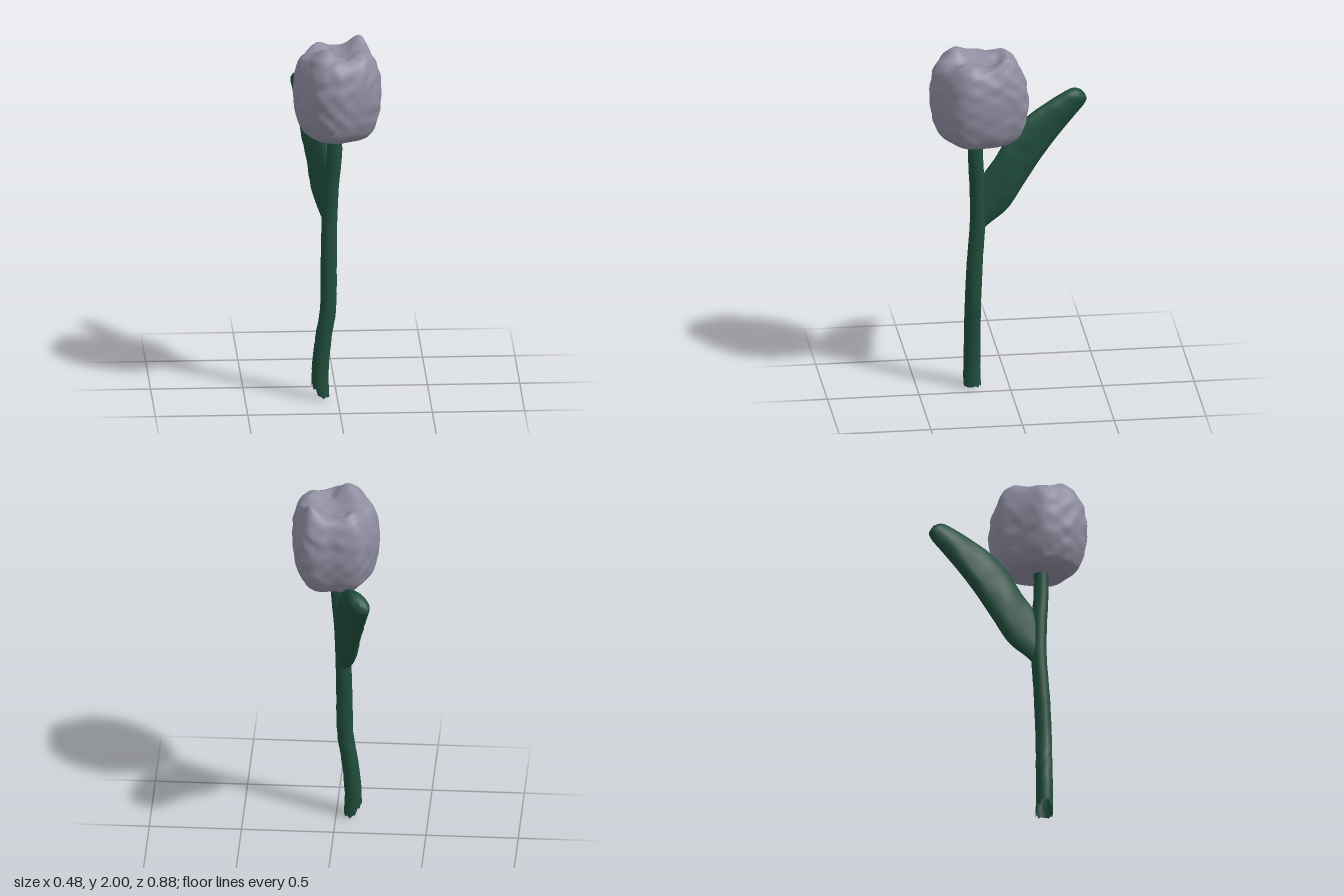
import * as THREE from 'three';

const V = (x, y, z) => new THREE.Vector3(x, y, z);

// Skin a surface over rings of points: at(t, u) with t along, u around (0..1)
function loft(rows, cols, at) {
  const pos = [], idx = [];
  for (let i = 0; i <= rows; i++)
    for (let j = 0; j < cols; j++) pos.push(...at(i / rows, j / cols).toArray());
  for (let i = 0; i < rows; i++)
    for (let j = 0; j < cols; j++) {
      const k = (j + 1) % cols;
      const a = i * cols + j, b = a + cols, c = i * cols + k, d = c + cols;
      idx.push(a, b, c, b, d, c);
    }
  const g = new THREE.BufferGeometry();
  g.setAttribute('position', new THREE.Float32BufferAttribute(pos, 3));
  g.setIndex(idx);
  g.computeVertexNormals();
  return g;
}

// Gentle hand-modelled unevenness
const bump = (x, y, z) =>
  Math.sin(x * 33 + 2 * Math.sin(y * 19)) * Math.sin(z * 31 + 1) * Math.sin(y * 29 + 2 * Math.sin(x * 17))
  + 0.4 * Math.sin(x * 61 + 1) * Math.sin(y * 57 + z * 20) * Math.sin(z * 59 + 2);

function bloomGeometry() {
  // Plan outline (x, z), squarish with a pointed front
  const outline = new THREE.CatmullRomCurve3([
    [.235, .17], [.223, .3], [.11, .39], [-.03, .44], [-.13, .4], [-.2, .3],
    [-.238, .17], [-.2, .06], [-.14, -.055], [0, -.072], [.15, -.072], [.205, .02],
  ].map(([x, z]) => V(x, 0, z)), true);
  // Side profile: scale of the outline against height
  const profile = new THREE.CatmullRomCurve3([
    [0, 1.485], [.4, 1.475], [.68, 1.49], [.85, 1.54], [.95, 1.62], [1, 1.73], [.975, 1.82],
    [.91, 1.885], [.81, 1.925], [.62, 1.94], [.3, 1.93], [0, 1.92],
  ].map(([s, y]) => V(s, y, 0)));
  // Petal tips and the pits between them: x, z, height, spread
  const tips = [[-.06, .29, .062, .07], [.135, .03, .065, .07], [-.09, .03, .03, .05],
    [.13, .24, .03, .065], [-.1, .2, .02, .05], [-.055, .06, -.03, .03], [.02, .1, -.02, .05],
    [.03, .27, -.015, .035]];
  return loft(70, 96, (t, u) => {
    const o = outline.getPoint(u), p = profile.getPoint(t);
    const s = Math.max(p.x, 0);
    let x = o.x * s, z = .185 + (o.z - .185) * s, y = p.y;
    const top = THREE.MathUtils.smoothstep(t, .6, .78);
    for (const [tx, tz, h, w] of tips)
      y += top * h * Math.exp(-((x - tx) ** 2 + (z - tz) ** 2) / (w * w));
    const k = 1 + .025 * bump(x, y, z);
    x *= k;
    z = .185 + (z - .185) * k;
    return V(x, Math.min(y + top * s * .006 * bump(z, x, y), 2), z);
  });
}

function stemGeometry() {
  const path = new THREE.CatmullRomCurve3([
    [-.09, 0, .2], [-.092, .15, .2], [-.073, .35, .2], [-.05, .5, .2], [-.045, .75, .19],
    [-.04, 1, .175], [-.03, 1.2, .18], [-.015, 1.36, .19], [-.01, 1.5, .19],
  ].map(p => V(...p)));
  return loft(50, 20, (t, u) => {
    const a = u * Math.PI * 2, c = path.getPoint(t);
    const r = (.047 - .007 * t) * (1 + .05 * bump(c.x + u, c.y, c.z));
    // Ragged cut at the foot, higher on the right side
    const cut = Math.max(0, -Math.cos(a)) * .07 + .012 * (1 + Math.sin(u * 60));
    return V(c.x + r * Math.cos(a), Math.max(c.y, cut), c.z + r * Math.sin(a));
  });
}

function leafGeometry() {
  // Lower and upper edges (z, y) from the stem to the tip
  const edges = [
    [.185, .89, .19, 1.12], [.12, .955, .15, 1.25], [.01, 1.03, .085, 1.34],
    [-.09, 1.17, 0, 1.47], [-.18, 1.3, -.1, 1.565], [-.28, 1.425, -.2, 1.625],
    [-.37, 1.525, -.29, 1.67], [-.422, 1.582, -.362, 1.694], [-.442, 1.62, -.41, 1.675],
  ];
  const lower = new THREE.CatmullRomCurve3(edges.map(e => V(0, e[1], e[0])));
  const upper = new THREE.CatmullRomCurve3(edges.map(e => V(0, e[3], e[2])));
  return loft(44, 28, (t, u) => {
    const a = u * Math.PI * 2, lo = lower.getPoint(t), up = upper.getPoint(t);
    const mid = lo.clone().add(up).multiplyScalar(.5), half = up.sub(lo).multiplyScalar(.5);
    const close = t === 0 || t === 1 ? 0 : 1;
    const p = mid.addScaledVector(half, Math.sin(a) * close);
    // Slim at the stem, full along the blade, rounded at the tip
    const thick = (.034 + .024 * THREE.MathUtils.smoothstep(t, .05, .35))
      * Math.sqrt(1 - Math.max(0, (t - .8) / .2) ** 2 * .8);
    p.x = -.04 + (p.z - .15) * .225 + Math.sin(a) * .018 * Math.min(1, t * 3) * close
      + Math.cos(a) * thick * close * (1 + .08 * bump(p.x, p.y, p.z));
    return p;
  });
}

export function createModel() {
  const petal = new THREE.MeshStandardMaterial({ color: 0x8f8ea1 });
  petal.name = 'petal grey';
  const green = new THREE.MeshStandardMaterial({ color: 0x204e3d, side: THREE.DoubleSide });
  green.name = 'stem green';

  const model = new THREE.Group();
  model.name = 'tulip';
  const add = (name, geometry, material) => {
    const m = new THREE.Mesh(geometry, material);
    m.name = name;
    model.add(m);
  };
  add('bloom', bloomGeometry(), petal);
  add('stem', stemGeometry(), green);
  add('leaf', leafGeometry(), green);
  return model;
}
